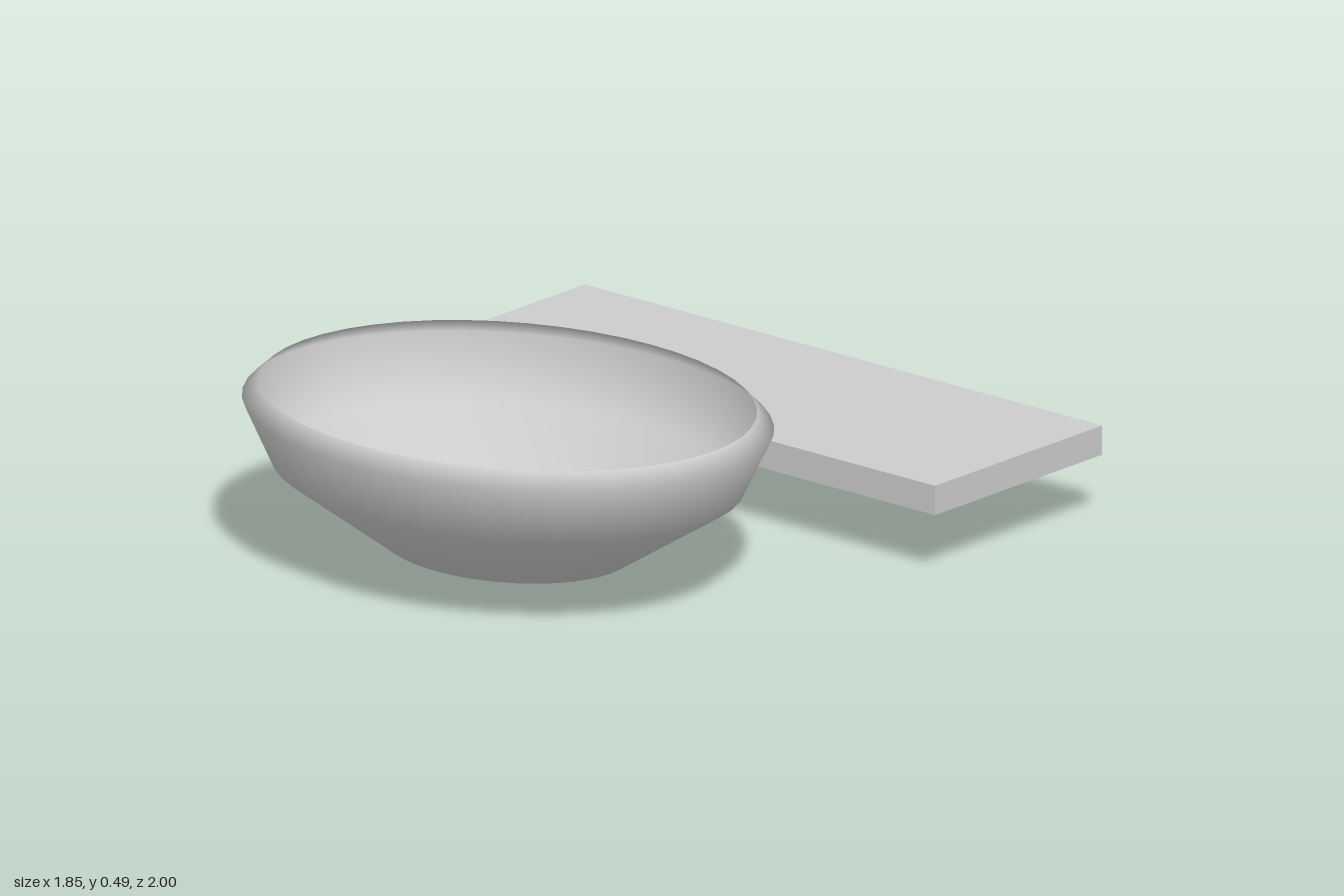
import * as THREE from 'three';

export function createModel() {
  const group = new THREE.Group();

  // Oval basin: one thin turned shell, squashed front to back
  const profile = [
    [0, 0], [0.365, 0.06], [0.695, 0.27], [0.78, 0.44], [0.73, 0.485],
  ].map(([r, y]) => new THREE.Vector2(r, y));
  const basin = new THREE.Mesh(
    new THREE.LatheGeometry(profile, 48),
    new THREE.MeshStandardMaterial({ color: 0xcccccc, side: THREE.DoubleSide }),
  );
  basin.name = 'basin';
  basin.scale.z = 0.8;
  basin.position.z = 0.376;
  group.add(basin);

  // Flat shelf behind the basin
  const shelf = new THREE.Mesh(
    new THREE.BoxGeometry(1.845, 0.083, 0.685),
    new THREE.MeshStandardMaterial({ color: 0xcccccc }),
  );
  shelf.name = 'shelf';
  shelf.position.set(0, 0.216, -0.6575);
  group.add(shelf);

  return group;
}
